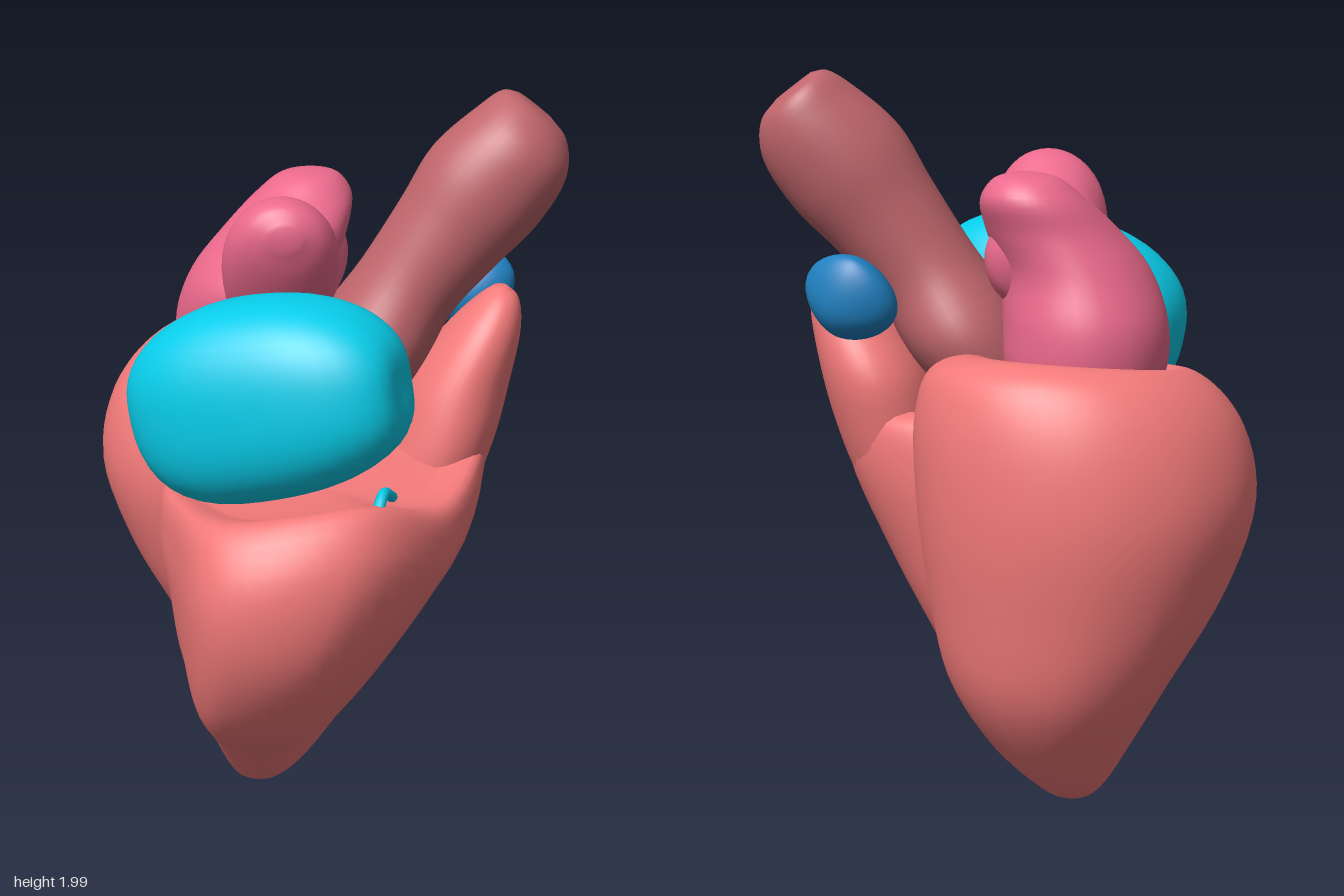
import * as THREE from 'three';
import { mergeVertices } from 'three/addons/utils/BufferGeometryUtils.js';

const V = (x, y, z) => new THREE.Vector3(x, y, z);
const material = (color) => new THREE.MeshStandardMaterial({ color });

// Smooth closed skin through a stack of rings, capped at both ends
function loft(rings, around = 40, perRing = 5) {
  const loops = rings.map((r) => {
    const c = new THREE.CatmullRomCurve3(r, true);
    return Array.from({ length: around }, (_, i) => c.getPoint(i / around));
  });
  const steps = (rings.length - 1) * perRing;
  const columns = loops[0].map((_, i) => new THREE.CatmullRomCurve3(loops.map((l) => l[i])));
  const pts = [];
  for (let s = 0; s <= steps; s++) columns.forEach((c) => pts.push(c.getPoint(s / steps)));
  const index = [];
  for (let s = 0; s < steps; s++) {
    for (let i = 0; i < around; i++) {
      const j = (i + 1) % around, a = s * around, b = a + around;
      index.push(a + i, b + i, a + j, a + j, b + i, b + j);
    }
  }
  for (const s of [0, steps]) {
    const o = s * around, mid = V(0, 0, 0);
    for (let i = 0; i < around; i++) mid.addScaledVector(pts[o + i], 1 / around);
    const m = pts.push(mid) - 1;
    for (let i = 0; i < around; i++) {
      const j = (i + 1) % around;
      index.push(m, o + (s ? j : i), o + (s ? i : j));
    }
  }
  // Turn the faces outward if the enclosed volume is negative
  let volume = 0;
  for (let k = 0; k < index.length; k += 3) {
    volume += pts[index[k]].dot(V(0, 0, 0).crossVectors(pts[index[k + 1]], pts[index[k + 2]]));
  }
  if (volume < 0) index.reverse();
  const g = new THREE.BufferGeometry().setFromPoints(pts);
  g.setIndex(index);
  g.computeVertexNormals();
  return g;
}

// Ellipse ring; tilt leans it in the xy plane, upright makes it face z
function ring(x, y, z, a, b, tilt = 0, upright = false) {
  return Array.from({ length: 12 }, (_, i) => {
    const t = (i / 12) * Math.PI * 2, c = a * Math.cos(t), s = b * Math.sin(t);
    return upright ? V(x + c, y + s, z) : V(x + c * Math.cos(tilt), y + c * Math.sin(tilt), z + s);
  });
}

// Boxy rounded blob reshaped by a rule
function blob(sx, sy, sz, power, rule) {
  const sphere = new THREE.SphereGeometry(1, 40, 28);
  sphere.deleteAttribute('normal');
  sphere.deleteAttribute('uv');
  const g = mergeVertices(sphere, 1e-5), p = g.attributes.position, v = V(0, 0, 0);
  for (let i = 0; i < p.count; i++) {
    v.fromBufferAttribute(p, i);
    const n = (Math.abs(v.x) ** power + Math.abs(v.y) ** power + Math.abs(v.z) ** power) ** (1 / power);
    v.divideScalar(n);
    rule(v);
    p.setXYZ(i, v.x * sx, v.y * sy, v.z * sz);
  }
  g.computeVertexNormals();
  return g;
}

export function createModel() {
  const group = new THREE.Group();
  const add = (name, geometry, mat) => {
    const m = new THREE.Mesh(geometry, mat);
    m.name = name;
    group.add(m);
    return m;
  };
  const muscle = material(0xf47a7a), teal = material(0x08cdea), pink = material(0xec6a8c);
  const artery = material(0xc0666c), blue = material(0x2080c0);

  // Left ventricle: thick cup, rows are y, x range, z range, rim folding inward
  const cup = [
    [0.015, -0.21, -0.15, -0.28, -0.21], [0.025, -0.24, -0.11, -0.34, -0.15],
    [0.075, -0.28, -0.05, -0.43, -0.06],
    [0.2, -0.34, 0.06, -0.56, -0.02], [0.4, -0.44, 0.17, -0.7, 0.03],
    [0.65, -0.58, 0.22, -0.77, 0.07], [0.9, -0.655, 0.25, -0.805, 0.1],
    [1.1, -0.62, 0.25, -0.77, 0.08], [1.21, -0.54, 0.21, -0.7, 0.02],
    [1.25, -0.46, 0.11, -0.61, -0.06], [1.22, -0.42, 0.01, -0.55, -0.1],
    [1.14, -0.36, -0.05, -0.49, -0.16],
  ].map(([y, x0, x1, z0, z1]) => ring((x0 + x1) / 2, y, (z0 + z1) / 2, (x1 - x0) / 2, (z1 - z0) / 2));
  cup.flat().forEach((p) => {
    p.y += Math.max(0, p.y - 0.8) * (0.15 * (p.x + 0.2) - 0.3 * (p.z + 0.35));
  });
  add('leftVentricle', loft(cup, 48), muscle);

  // Right ventricle: wedge wrapped on the cup, rows are y then x, z pairs
  const wedge = [
    [0.005, -0.22, -0.04, -0.23, 0, -0.21, 0.03, -0.18, 0.03, -0.16, 0, -0.16, -0.05, -0.18, -0.06],
    [0.06, -0.27, -0.08, -0.28, 0.02, -0.25, 0.12, -0.17, 0.13, -0.08, 0, -0.06, -0.13, -0.13, -0.2],
    [0.25, -0.33, -0.05, -0.35, 0.12, -0.28, 0.35, -0.13, 0.36, 0.02, 0.12, 0.08, -0.16, -0.02, -0.32],
    [0.45, -0.4, 0, -0.4, 0.25, -0.32, 0.59, -0.1, 0.61, 0.115, 0.28, 0.195, -0.18, 0.06, -0.37],
    [0.7, -0.42, 0.05, -0.42, 0.4, -0.31, 0.74, -0.03, 0.76, 0.24, 0.4, 0.315, -0.18, 0.08, -0.4],
    [0.95, -0.45, 0.1, -0.42, 0.45, -0.3, 0.755, 0.06, 0.755, 0.32, 0.4, 0.41, -0.18, 0.08, -0.4],
    [1.08, -0.43, 0.12, -0.4, 0.42, -0.28, 0.66, 0.07, 0.67, 0.3, 0.4, 0.42, -0.14, 0.08, -0.35],
    [1.04, -0.35, 0.18, -0.3, 0.4, -0.2, 0.55, 0.05, 0.55, 0.2, 0.35, 0.3, 0, 0, 0],
  ].map(([y, ...c]) => Array.from({ length: 7 }, (_, i) => V(c[2 * i], y, c[2 * i + 1])));
  // Rim dips below the outflow and at the far end
  wedge.flat().forEach((p) => {
    if (p.y < 0.9) return;
    p.y -= 0.1 * Math.exp(-((p.x - 0.3) ** 2 + (p.z - 0.4) ** 2) / 0.03);
    p.y -= 0.28 * Math.max(0, -0.1 - p.x);
  });
  add('rightVentricle', loft(wedge, 56), muscle);

  // Outflow horn rising from the right ventricle
  add('outflowTract', loft([
    ring(0.12, 0.6, -0.08, 0.12, 0.15), ring(0.26, 0.87, -0.06, 0.145, 0.19),
    ring(0.32, 1.04, -0.06, 0.15, 0.21), ring(0.365, 1.2, -0.07, 0.145, 0.2),
    ring(0.435, 1.36, -0.045, 0.1, 0.13), ring(0.47, 1.44, -0.04, 0.055, 0.07),
    ring(0.475, 1.47, -0.04, 0.02, 0.025),
  ]), muscle);

  // Aorta: leaning vessel that swells toward a rounded end
  add('aorta', loft([
    [0.05, 1.12, -0.08, 0.09, 0.13, 0], [0.06, 1.17, -0.09, 0.16, 0.2, 0.05],
    [0.12, 1.3, -0.1, 0.165, 0.22, -0.25], [0.22, 1.46, -0.09, 0.145, 0.165, -0.55],
    [0.33, 1.61, -0.085, 0.16, 0.16, -0.65], [0.43, 1.74, -0.085, 0.18, 0.17, -0.65],
    [0.53, 1.86, -0.09, 0.155, 0.155, -0.65], [0.565, 1.93, -0.11, 0.11, 0.11, -0.65],
    [0.565, 1.955, -0.11, 0.06, 0.06, -0.65],
  ].map((r) => ring(...r))), artery);

  // Right atrium: lopsided cushion over the right ventricle
  const atrium = add('rightAtrium', blob(0.4, 0.265, 0.235, 2.5, (v) => {
    // Thinner toward the outer end
    v.y *= v.y < 0 ? 1 - 0.2 * v.x : 1 - 0.12 * v.x * v.x;
    v.z *= 1 - 0.08 * v.x;
    // Hollow in the outer face
    v.x -= 0.1 * Math.max(0, v.x) * Math.exp(-(v.y ** 2 + (v.z + 0.1) ** 2) / 0.2);
  }), teal);
  atrium.position.set(-0.155, 1.285, 0.37);
  atrium.rotation.set(0, -0.49, 0.17);

  // Small valve strip under the atrium
  const strip = new THREE.CatmullRomCurve3([V(0.1, 1.04, 0.64), V(0.12, 1.085, 0.58), V(0.15, 1.04, 0.47)]);
  add('valveStrip', new THREE.TubeGeometry(strip, 16, 0.015, 8), teal);

  // Left atrium: broad body in the cup with a rear hump and a lobe reaching forward
  add('leftAtriumBody', loft([
    [-0.2, 1.1, -0.3, 0.15, 0.18], [-0.205, 1.22, -0.27, 0.215, 0.25],
    [-0.205, 1.35, -0.25, 0.22, 0.275], [-0.18, 1.48, -0.21, 0.2, 0.27],
    [-0.115, 1.59, -0.24, 0.175, 0.21], [-0.06, 1.68, -0.3, 0.135, 0.145],
    [-0.045, 1.73, -0.31, 0.085, 0.09], [-0.04, 1.745, -0.31, 0.03, 0.03],
  ].map((r) => ring(...r))), pink);
  add('leftAtriumLobe', loft([
    [-0.08, 1.54, -0.36, 0.06, 0.06], [-0.08, 1.52, -0.3, 0.14, 0.13],
    [-0.12, 1.49, -0.15, 0.16, 0.16], [-0.14, 1.5, 0, 0.145, 0.2],
    [-0.13, 1.59, 0.12, 0.155, 0.17], [-0.125, 1.65, 0.2, 0.11, 0.1],
    [-0.12, 1.67, 0.235, 0.04, 0.03],
  ].map(([x, y, z, a, b]) => ring(x, y, z, a, b, 0, true))), pink);

  // Vessel bud behind the outflow
  const bud = add('pulmonaryBud', blob(0.135, 0.125, 0.1, 1.75, (v) => {
    v.z *= 1 - 0.2 * v.y;
  }), blue);
  bud.position.set(0.415, 1.415, -0.265);
  bud.rotation.set(-0.5, -0.55, 0.1);

  return group;
}
